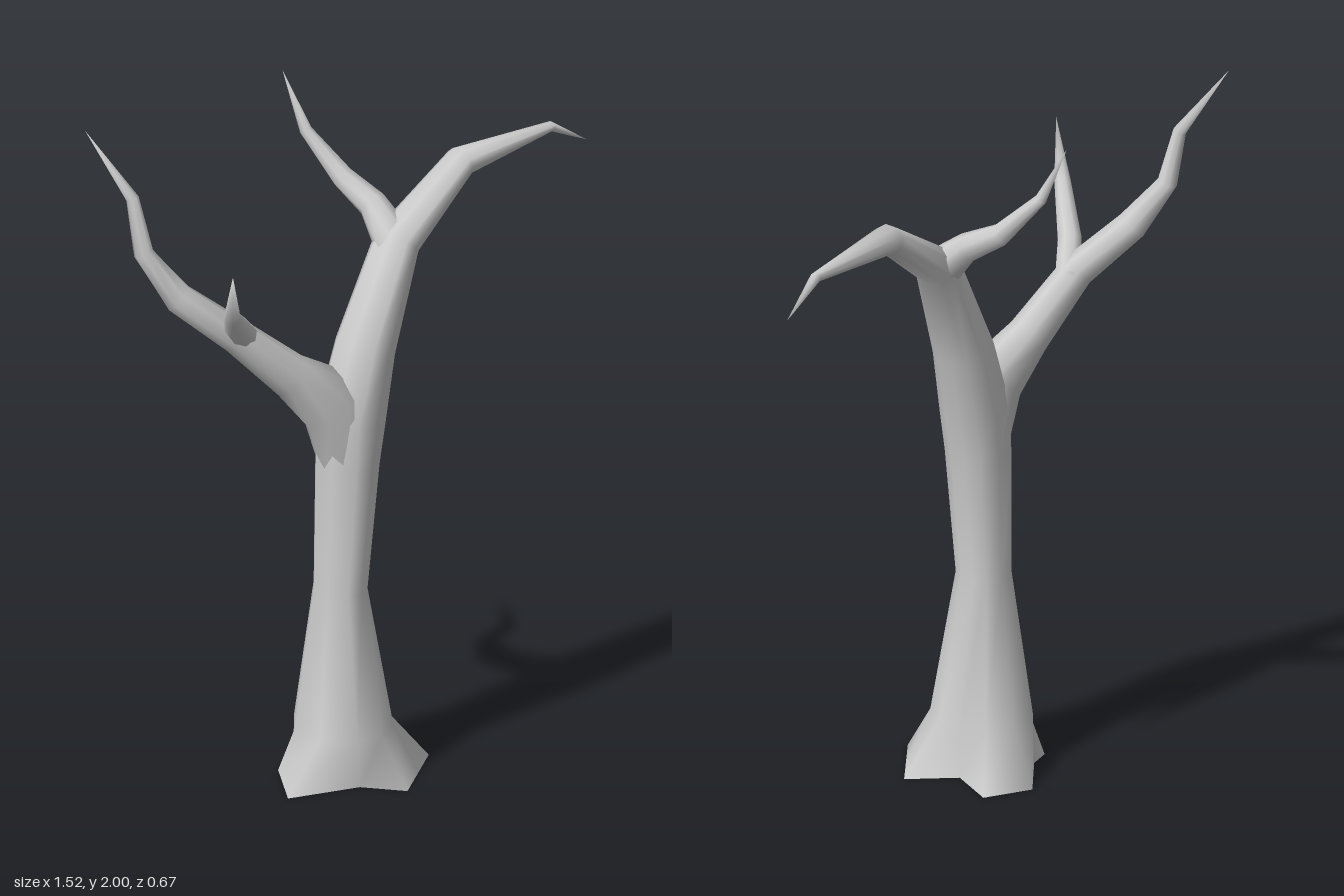
import * as THREE from 'three';

const material = new THREE.MeshStandardMaterial({ color: 0xcccccc, side: THREE.DoubleSide });

// Closed smooth tube through stations [x, y, z, radius across, radius in depth].
// The last station is a pointed tip; firstRing may replace the first cross-section.
function limb(name, stations, angles, firstRing) {
  const pts = stations.map(s => new THREE.Vector3(s[0], s[1], s[2]));
  const n = angles.length, last = pts.length - 1;
  const pos = [], index = [];
  const zAxis = new THREE.Vector3(0, 0, 1);
  for (let i = 0; i < last; i++) {
    const before = pts[Math.max(i - 1, 0)], after = pts[i + 1];
    const dirIn = pts[i].clone().sub(before).normalize();
    const t = after.clone().sub(pts[i]).normalize().add(dirIn).normalize();
    const u = t.clone().cross(zAxis).normalize();
    const w = u.clone().cross(t);
    const [, , , ra, rb = ra] = stations[i];
    angles.forEach((deg, j) => {
      if (i === 0 && firstRing) {
        pos.push(firstRing[j][0], 0, firstRing[j][1]);
        return;
      }
      const a = THREE.MathUtils.degToRad(deg);
      const p = pts[i].clone().addScaledVector(u, ra * Math.cos(a)).addScaledVector(w, rb * Math.sin(a));
      pos.push(p.x, p.y, p.z);
    });
  }
  pos.push(...pts[last].toArray());
  const tip = last * n;
  for (let i = 0; i < last; i++) {
    for (let j = 0; j < n; j++) {
      const k = (j + 1) % n;
      const a = i * n + j, b = i * n + k;
      if (i === last - 1) index.push(a, tip, b);
      else index.push(a, a + n, b, b, a + n, b + n);
    }
  }
  const geo = new THREE.BufferGeometry();
  geo.setAttribute('position', new THREE.Float32BufferAttribute(pos, 3));
  geo.setIndex(index);
  geo.computeVertexNormals();
  const mesh = new THREE.Mesh(geo, material);
  mesh.name = name;
  return mesh;
}

export function createModel() {
  const tree = new THREE.Group();
  tree.name = 'bareTree';

  // Trunk: star-shaped root flare, waist, then bending over into the long bough
  const trunkAngles = [20, 50, 85, 118, 162, 205, 243, 288, 322, 350];
  const roots = [
    [0.06, 0.19], [-0.045, 0.26], [-0.15, 0.33], [-0.23, 0.22], [-0.43, 0.14],
    [-0.32, -0.02], [-0.25, -0.035], [-0.09, -0.145], [0.04, -0.07], [-0.04, 0.07],
  ];
  tree.add(limb('trunkAndLongBough', [
    [-0.18, 0, 0.1, 0.2, 0.2],
    [-0.185, 0.15, 0.1, 0.135, 0.15],
    [-0.195, 0.57, 0.1, 0.073, 0.082],
    [-0.172, 0.95, 0.103, 0.088, 0.097],
    [-0.158, 1.08, 0.103, 0.1, 0.1],
    [-0.105, 1.28, 0.105, 0.084, 0.09],
    [0.025, 1.565, 0.098, 0.06, 0.072],
    [0.27, 1.73, 0.094, 0.042, 0.05],
    [0.615, 1.73, 0.092, 0.014, 0.017],
    [0.755, 1.645, 0.09],
  ], trunkAngles, roots));

  const branchAngles = [0, 45, 90, 135, 180, 225, 270, 315];

  // Side branch rising from the trunk and curling backward
  tree.add(limb('sideBranch', [
    [-0.165, 0.95, 0.1, 0.085, 0.085],
    [-0.215, 1.14, 0.09, 0.105, 0.085],
    [-0.34, 1.245, 0.05, 0.065, 0.06],
    [-0.5, 1.4, 0.0, 0.05, 0.05],
    [-0.625, 1.52, -0.1, 0.045, 0.045],
    [-0.685, 1.65, -0.18, 0.028, 0.03],
    [-0.695, 1.81, -0.215, 0.018, 0.02],
    [-0.765, 2.0, -0.335],
  ], branchAngles));

  // Forward fork of the side branch
  tree.add(limb('frontFork', [
    [-0.46, 1.38, 0.0, 0.04],
    [-0.55, 1.46, 0.06, 0.036],
    [-0.68, 1.57, 0.18, 0.024],
    [-0.73, 1.73, 0.238],
  ], branchAngles));

  // Small branch leaving the bough toward the back
  tree.add(limb('backBranch', [
    [0.02, 1.56, 0.09, 0.06],
    [0.02, 1.645, 0.0, 0.042],
    [0.0, 1.7, -0.1, 0.033],
    [-0.04, 1.82, -0.21, 0.018],
    [-0.057, 1.985, -0.288],
  ], branchAngles));

  return tree;
}
